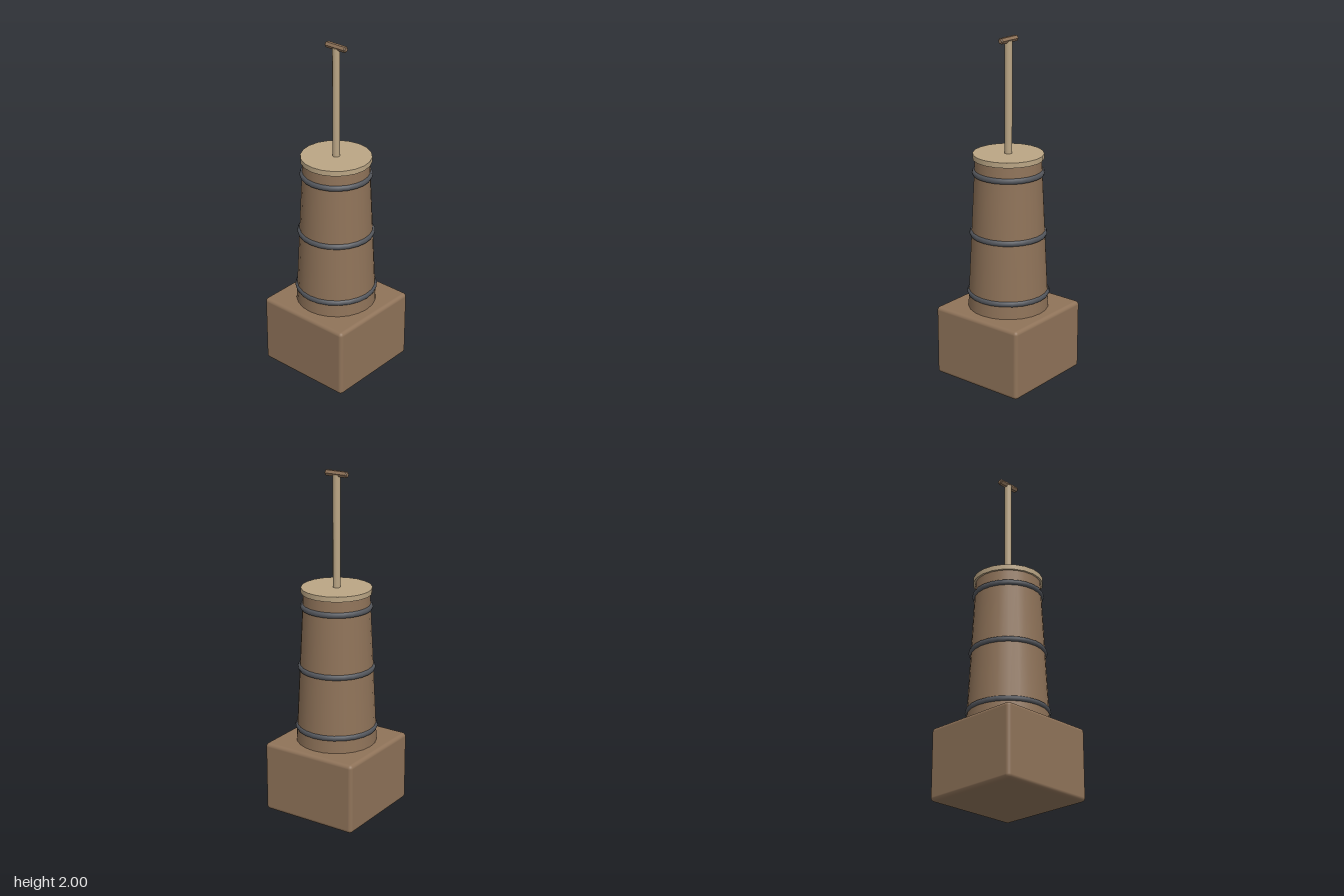
import * as THREE from 'three';
import { RoundedBoxGeometry } from 'three/addons/geometries/RoundedBoxGeometry.js';
import { toCreasedNormals } from 'three/addons/utils/BufferGeometryUtils.js';

const mat = (name, color) => {
  const m = new THREE.MeshStandardMaterial({ color });
  m.name = name;
  return m;
};

export function createModel() {
  const churn = new THREE.Group();
  churn.name = 'butterChurn';

  const wood = mat('brown wood', 0x8f7359);
  const paleWood = mat('pale wood', 0xbba685);
  const iron = mat('dark iron', 0x53565c);

  const add = (name, geometry, material, y) => {
    const mesh = new THREE.Mesh(geometry, material);
    mesh.name = name;
    mesh.position.y = y;
    churn.add(mesh);
    return mesh;
  };

  // Block base with softened edges
  add('base', new RoundedBoxGeometry(0.6, 0.42, 0.6, 3, 0.022), wood, 0.21);

  // Tapered barrel
  const bottom = 0.41, top = 1.315, rBottom = 0.235, rTop = 0.19;
  add('barrel', new THREE.CylinderGeometry(rTop, rBottom, top - bottom, 24), wood, (bottom + top) / 2);

  // Three hoops, shrinking with the barrel
  for (const [y, outer] of [[0.51, 0.241], [0.87, 0.225], [1.23, 0.208]]) {
    const hoop = new THREE.TorusGeometry(outer - 0.018, 0.018, 8, 24).rotateX(Math.PI / 2);
    add('hoop', hoop, iron, y);
  }

  // Lid disc
  add('lid', new THREE.CylinderGeometry(0.203, 0.203, 0.03, 20), paleWood, 1.325);

  // Plunger rod
  add('plungerRod', new THREE.CylinderGeometry(0.022, 0.022, 0.66, 12), paleWood, 1.65);

  // Cross handle: six-sided bar with bevelled ends
  const half = 0.072, r = 0.018, bevel = 0.006;
  const profile = [
    [0, -half], [r - bevel, -half], [r, -half + bevel],
    [r, half - bevel], [r - bevel, half], [0, half],
  ].map(([x, y]) => new THREE.Vector2(x, y));
  const bar = toCreasedNormals(new THREE.LatheGeometry(profile, 6).rotateZ(Math.PI / 2), 0.5);
  add('handle', bar, wood, 1.9844);

  return churn;
}
